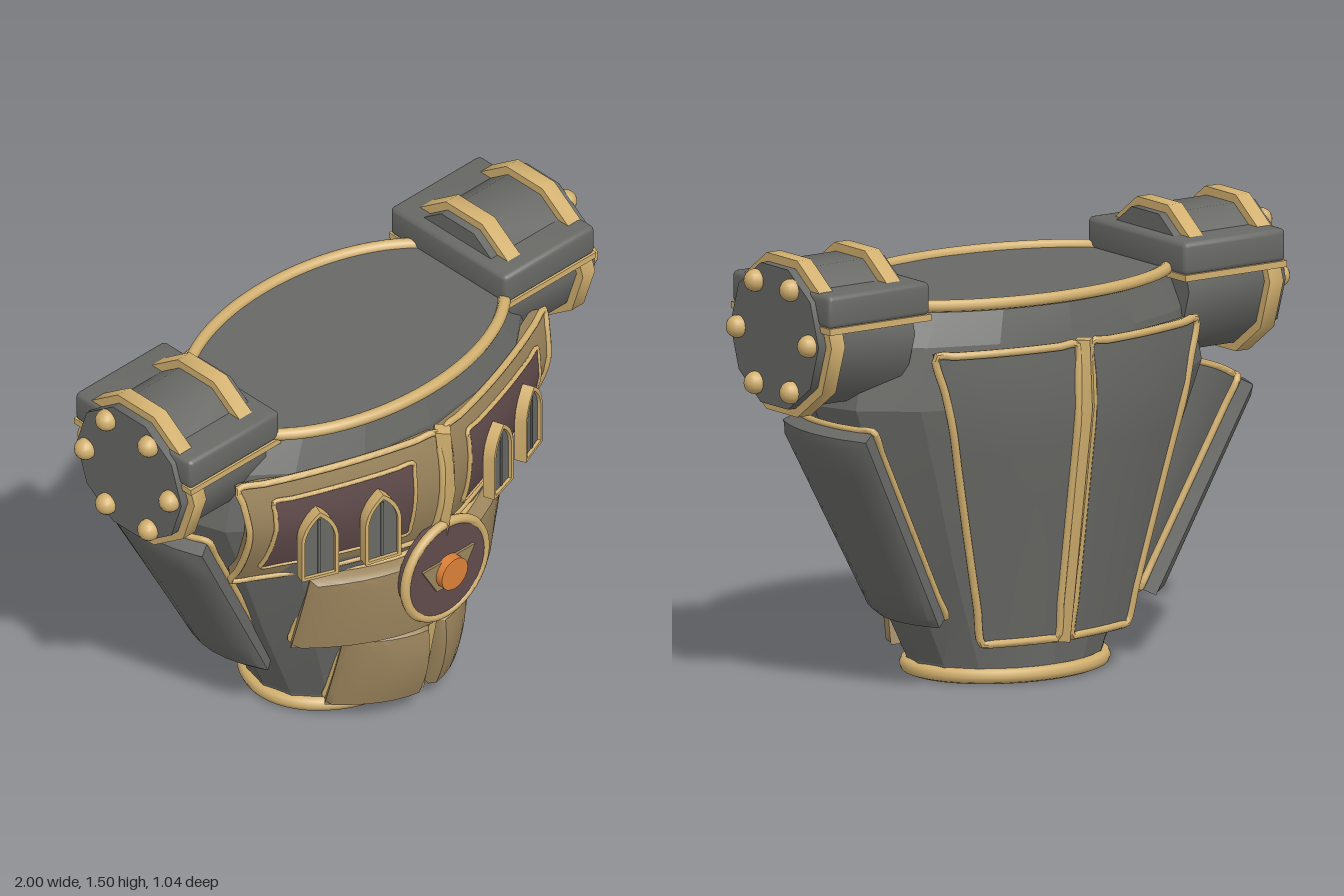
import * as THREE from 'three';
import { toCreasedNormals } from 'three/addons/utils/BufferGeometryUtils.js';
import { RoundedBoxGeometry } from 'three/addons/geometries/RoundedBoxGeometry.js';

const V = (x, y, z) => new THREE.Vector3(x, y, z);
const lerp = THREE.MathUtils.lerp;
const material = (name, color) => Object.assign(new THREE.MeshStandardMaterial({ color }), { name });

// Geometry from a list of quads (counter-clockwise corners)
function fromQuads(quads) {
  const pos = [];
  for (const [a, b, c, d] of quads) for (const p of [a, b, c, a, c, d]) pos.push(p.x, p.y, p.z);
  const g = new THREE.BufferGeometry();
  g.setAttribute('position', new THREE.Float32BufferAttribute(pos, 3));
  g.computeVertexNormals();
  return g;
}

// Rings run counter-clockwise seen from above, listed bottom to top
function loft(rings) {
  const quads = [], n = rings[0].length;
  for (let r = 0; r < rings.length - 1; r++) for (let i = 0; i < n; i++) {
    const j = (i + 1) % n;
    quads.push([rings[r][i], rings[r][j], rings[r + 1][j], rings[r + 1][i]]);
  }
  [rings[0], rings[rings.length - 1]].forEach((ring, top) => {
    const c = ring.reduce((s, p) => s.add(p), V(0, 0, 0)).divideScalar(n);
    ring.forEach((p, i) => {
      const q = ring[(i + 1) % n];
      quads.push(top ? [c, p, q, c] : [c, q, p, c]);
    });
  });
  return fromQuads(quads);
}

// Point on a surface, pushed along its normal
function offset(fn, u, v, d) {
  const e = 0.002, du = fn(u + e, v).sub(fn(u - e, v)), dv = fn(u, v + e).sub(fn(u, v - e));
  return fn(u, v).addScaledVector(du.cross(dv).normalize(), d);
}

// Curved slab with a bevelled outer rim
function slab(fn, thick, bevel = 0, lift = 0) {
  const s = [0, 0.05, 0.2, 0.35, 0.5, 0.65, 0.8, 0.95, 1], n = s.length - 1, quads = [];
  const edge = i => i === 0 || i === n;
  const out = s.map((u, i) => s.map((v, j) => offset(fn, u, v, lift - (edge(i) || edge(j) ? bevel : 0))));
  const inn = s.map(u => s.map(v => offset(fn, u, v, lift - thick)));
  for (let i = 0; i < n; i++) {
    for (let j = 0; j < n; j++) {
      quads.push([out[i][j], out[i + 1][j], out[i + 1][j + 1], out[i][j + 1]]);
      quads.push([inn[i][j], inn[i][j + 1], inn[i + 1][j + 1], inn[i + 1][j]]);
    }
    quads.push([inn[i][0], inn[i + 1][0], out[i + 1][0], out[i][0]]);
    quads.push([out[i][n], out[i + 1][n], inn[i + 1][n], inn[i][n]]);
    quads.push([out[0][i], out[0][i + 1], inn[0][i + 1], inn[0][i]]);
    quads.push([inn[n][i], inn[n][i + 1], out[n][i + 1], out[n][i]]);
  }
  return fromQuads(quads);
}

const loop = (pts, r, seg = 96) => new THREE.TubeGeometry(new THREE.CatmullRomCurve3(pts, true), seg, r, 8, true);

// Bead running round the border of a surface
function border(fn, r, lift = 0) {
  const pts = [], n = 8;
  for (const [u0, v0, u1, v1] of [[0, 0, 1, 0], [1, 0, 1, 1], [1, 1, 0, 1], [0, 1, 0, 0]])
    for (let i = 0; i < n; i++) pts.push(offset(fn, lerp(u0, u1, i / n), lerp(v0, v1, i / n), lift));
  return loop(pts, r, 128);
}

function mirrored(geo) {
  const g = geo.index ? geo.toNonIndexed() : geo.clone();
  const p = g.attributes.position, a = V(0, 0, 0), b = V(0, 0, 0);
  for (let i = 0; i < p.count; i += 3) {
    a.fromBufferAttribute(p, i + 1); b.fromBufferAttribute(p, i + 2);
    p.setXYZ(i + 1, b.x, b.y, b.z); p.setXYZ(i + 2, a.x, a.y, a.z);
  }
  return g.scale(-1, 1, 1);
}

// Oval outline of the torso
const oval = (y, a, zf, zb, n = 16) => Array.from({ length: n }, (_, i) => {
  const t = i / n * Math.PI * 2, s = Math.sin(t);
  return V(a * s, y, (zf + zb) / 2 + (zf - zb) / 2 * Math.cos(t));
});

// Tapering diamond-section rib
const rib = rows => loft(rows.map(([y, z, w, d]) => [V(0, y, z + d), V(w, y, z), V(0, y, z - d), V(-w, y, z)]));

function archShape(w, y0, y1, y2) {
  const s = new THREE.Shape();
  s.moveTo(-w, y0); s.lineTo(w, y0); s.lineTo(w, y1);
  s.quadraticCurveTo(w * 0.85, lerp(y1, y2, 0.6), 0, y2);
  s.quadraticCurveTo(-w * 0.85, lerp(y1, y2, 0.6), -w, y1);
  s.closePath();
  return s;
}

export function createModel() {
  const model = new THREE.Group();
  model.name = 'armouredTorso';
  const grey = material('gunmetal', 0x686965), gold = material('gold trim', 0xd2b06f),
    tan = material('bronze plate', 0x9c855d), maroon = material('dark maroon', 0x614b4b),
    orange = material('orange gem', 0xdc8038);

  const add = (name, geo, mat, crease = 0.8) => {
    const m = new THREE.Mesh(toCreasedNormals(geo, crease), mat);
    m.name = name;
    model.add(m);
  };
  const pair = (name, geo, mat, crease) => {
    add(name + 'Left', geo, mat, crease);
    add(name + 'Right', mirrored(geo), mat, crease);
  };

  // Torso shell with rims
  add('torso', loft([
    oval(0.005, 0.345, 0.25, -0.305), oval(0.06, 0.355, 0.25, -0.305), oval(0.4, 0.52, 0.32, -0.35),
    oval(0.75, 0.67, 0.385, -0.4), oval(0.97, 0.765, 0.415, -0.42), oval(1.18, 0.72, 0.405, -0.41),
    oval(1.31, 0.625, 0.37, -0.38)]), grey, 0.2);
  add('neckRim', loop(oval(1.312, 0.632, 0.385, -0.39, 32), 0.021), gold);
  add('waistRim', loop(oval(0.027, 0.347, 0.25, -0.305, 32), 0.026), gold);

  // Chest plates with inset panels
  const chestZ = (x, y) => 0.485 - 0.9 * (y - 1) ** 2 - 0.2 * x - (0.2 + 0.6 * Math.max(0, 1 - y)) * x * x;
  const chest = (x0, xb, xt, y0, y1) => (u, v) => {
    const x = lerp(x0, lerp(xb, xt, v), u), y = lerp(y0, y1, v);
    return V(x, y, chestZ(x, y));
  };
  const plate = chest(0.02, 0.66, 0.705, 0.735, 1.18), inset = chest(0.125, 0.605, 0.605, 0.81, 1.11);
  pair('chestPlate', slab(plate, 0.05), tan);
  pair('chestPlateTrim', border(plate, 0.012), gold);
  pair('chestInset', slab(inset, 0.008, 0, 0.006), maroon);
  pair('chestInsetTrim', border(inset, 0.008, 0.004), gold);

  // Pointed arch windows
  const frame = archShape(0.066, 0.795, 0.96, 1.065);
  frame.holes.push(archShape(0.054, 0.806, 0.955, 1.047));
  for (const x of [0.265, 0.478]) {
    const place = g => g.rotateY(Math.atan(0.2 + 0.42 * x)).translate(x, 0, chestZ(x, 0.98) + 0.008);
    const ext = (shape, depth) => place(new THREE.ExtrudeGeometry(shape, { depth, bevelEnabled: false, curveSegments: 6 }));
    pair('windowFrame', ext(frame, 0.042), gold, 0.5);
    pair('windowPane', ext(archShape(0.055, 0.8, 0.955, 1.05), 0.03), grey, 0.5);
    pair('windowMullion', place(new THREE.BoxGeometry(0.01, 0.22, 0.006).translate(0, 0.92, 0.032)), grey, 0.5);
  }
  add('chestRib', rib([[0.72, 0.455, 0.008, 0.02], [0.97, 0.485, 0.024, 0.036], [1.19, 0.46, 0.034, 0.04]]), gold, 0.3);

  // Belly plates, bulging at the middle and straight at the outer edge
  const belly = (x0, xb, xt, y0, y1, z0, z1, kb, kt, bulge) => (u, v) => {
    const x = lerp(x0, lerp(xb, xt, v), u);
    return V(x, lerp(y0, y1, v), lerp(z0, z1, v) + bulge * v * (1 - v) * (1 - u * u) - lerp(kb, kt, v) * x * x);
  };
  const rows = [
    ['upperBelly', belly(0.01, 0.465, 0.445, 0.38, 0.69, 0.445, 0.455, 1.05, 0.82, 0.04)],
    ['lowerBelly', belly(0.025, 0.31, 0.29, 0.065, 0.38, 0.385, 0.435, 1.75, 1.7, 0.1)]];
  for (const [name, fn] of rows) {
    pair(name + 'Plate', slab(fn, 0.07, 0.018), tan);
    pair(name + 'Trim', border(fn, 0.011, -0.06), gold);
  }
  add('bellyRib', rib([[0.07, 0.35, 0.012, 0.02], [0.42, 0.42, 0.012, 0.02]]), gold, 0.3);

  // Medallion
  const disc = (r, z0, z1, n) => new THREE.CylinderGeometry(r, r, z1 - z0, n).rotateX(Math.PI / 2).translate(0, 0.62, (z0 + z1) / 2);
  add('medallionDisc', disc(0.178, 0.43, 0.482, 32), maroon);
  add('medallionRing', new THREE.TorusGeometry(0.183, 0.017, 8, 40).translate(0, 0.62, 0.47), gold);
  const wing = new THREE.Shape([[-0.12, 0.05], [-0.055, -0.06], [0.055, -0.06], [0.12, 0.05]].map(p => new THREE.Vector2(...p)));
  add('medallionWing', new THREE.ExtrudeGeometry(wing, { depth: 0.009, bevelEnabled: false }).translate(0, 0.62, 0.482), tan, 0.5);
  add('medallionGem', disc(0.06, 0.46, 0.518, 20), orange);

  // Back plates and spine
  const backZ = y => 0.485 - (y > 0.95 ? 0.06 * (y - 0.95) : 0.155 * (0.95 - y));
  const back = (u, v) => {
    const x = lerp(lerp(0.295, 0.53, v), 0.03, u), y = lerp(0.155, 1.165, v);
    return V(x, y, -(backZ(y) - lerp(0.65, 0.36, v) * x * x));
  };
  pair('backPlate', slab(back, 0.05), grey);
  pair('backPlateTrim', border(back, 0.014), gold);
  add('spine', rib([0.14, 0.95, 1.18].map(y => [y, -backZ(y), 0.022 + 0.014 * y, 0.034])), gold, 0.3);

  // Side plates, leaning outwards
  const side = (u, v) => {
    const z = lerp(lerp(0.095, 0.14, v), lerp(-0.275, -0.34, v), u);
    return V(lerp(0.51, 0.86, v) - 0.055 * (2 * u - 1) ** 2, lerp(0.215, 0.895, v), z);
  };
  pair('sidePlate', slab(side, 0.08, 0.016), grey);
  pair('sidePlateTrim', border(side, 0.012, -0.075), gold);

  // Shoulder drums with bands, housings and bolts
  const cy = 1.235, cz = -0.045;
  const drum = (r, x0, x1, sides = 10, start = 0) => new THREE.CylinderGeometry(r, r, x1 - x0, sides, 1, false, start, sides * Math.PI / 5)
    .rotateZ(Math.PI / 2).translate((x0 + x1) / 2, cy, cz);
  pair('shoulderDrum', drum(0.248, 0.56, 0.955), grey);
  pair('shoulderInnerBand', drum(0.278, 0.59, 0.648, 3, Math.PI / 5), gold);
  pair('shoulderOuterBand', drum(0.278, 0.868, 0.924), gold);
  pair('shoulderHousing', new RoundedBoxGeometry(0.415, 0.112, 0.55, 2, 0.018).translate(0.727, 1.355, -0.05), grey, 0.6);
  pair('shoulderHousingTrim', new THREE.BoxGeometry(0.415, 0.022, 0.555).translate(0.727, 1.292, -0.05), gold, 0.5);
  for (let i = 0; i < 6; i++) {
    const a = i * Math.PI / 3;
    pair('shoulderBolt', new THREE.SphereGeometry(0.038, 14, 10).translate(0.962, cy + 0.2 * Math.sin(a), cz + 0.2 * Math.cos(a)), gold);
  }
  return model;
}
